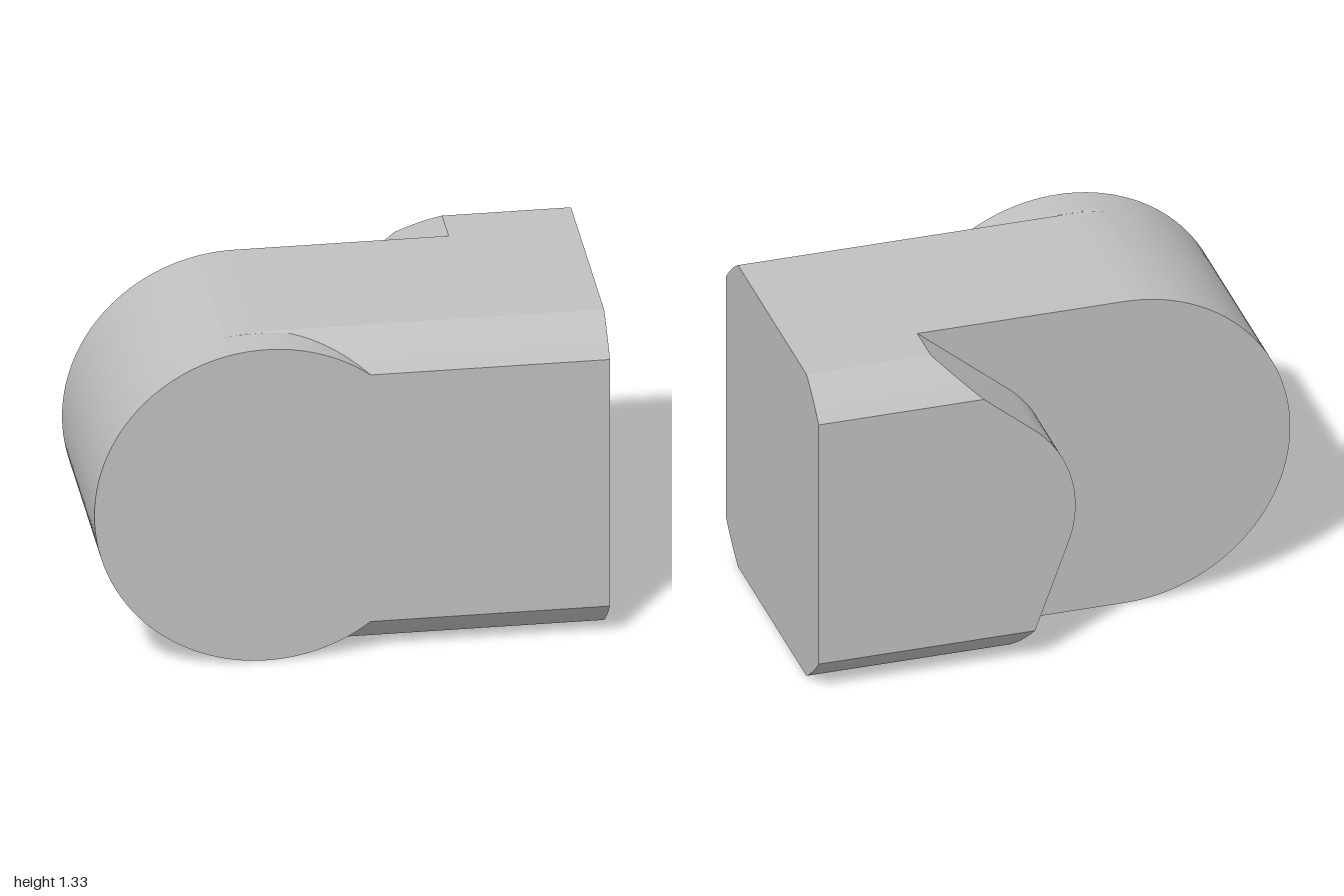
import * as THREE from 'three';
import { toCreasedNormals } from 'three/addons/utils/BufferGeometryUtils.js';

const R = 2 / 3;              // half height and radius of the rounded end
const END_X = -1 + R;         // axis of the rounded end
const CORNER_R = 0.8;         // turned radius that rounds the long corners
const Z_FLAT = Math.sqrt(CORNER_R ** 2 - R ** 2);
const Z_FRONT = 0.6, Z_STEP = -0.267;
const NOSE_X = 0.438, NOSE_R = 0.471;
const rad = THREE.MathUtils.degToRad;

// Half height of the body at depth z
const halfHeight = (z) => Math.min(R, Math.sqrt(CORNER_R ** 2 - z * z));

function arc(cx, r, from, to, n) {
  return Array.from({ length: n + 1 }, (_, i) => {
    const a = from + ((to - from) * i) / n;
    return new THREE.Vector2(cx + r * Math.cos(a), r * Math.sin(a));
  });
}

// Full disc joined to a bar of half height h
function discEdge(h) {
  const a = Math.asin(Math.min(1, h / R));
  return arc(END_X, R, a, 2 * Math.PI - a, 80);
}

// Blunt nose: sloped line above, arc, steeper line below
function noseEdge(h) {
  const top = rad(130), low = rad(200);
  const pts = arc(NOSE_X, NOSE_R, top, low, 32);
  const a = pts[0], b = pts[pts.length - 1];
  const start = new THREE.Vector2(a.x - (h - a.y) * Math.tan(top), h);
  const end = new THREE.Vector2(b.x + (h + b.y) * Math.tan(rad(20)), -h);
  return [start, ...pts, end];
}

const outline = (edge, z) => {
  const h = halfHeight(z);
  return [new THREE.Vector2(1, h), ...edge(h), new THREE.Vector2(1, -h)];
};

// Side walls through outlines at rising z
function loft(edge, depths) {
  const pos = [], index = [];
  const n = outline(edge, depths[0]).length;
  depths.forEach((z, k) => {
    outline(edge, z).forEach((p, i) => {
      pos.push(p.x, p.y + R, z);
      if (k === 0) return;
      const j = (i + 1) % n, lo = (k - 1) * n, hi = k * n;
      index.push(lo + i, lo + j, hi + j, lo + i, hi + j, hi + i);
    });
  });
  const g = new THREE.BufferGeometry();
  g.setAttribute('position', new THREE.Float32BufferAttribute(pos, 3));
  g.setIndex(index);
  return toCreasedNormals(g, rad(20));
}

// Flat face at depth z
function cap(points, z, facesBack) {
  const g = new THREE.ShapeGeometry(new THREE.Shape(points));
  g.translate(0, R, z);
  if (facesBack) {
    g.index.array.reverse();
    const nrm = g.attributes.normal;
    for (let i = 0; i < nrm.count; i++) nrm.setZ(i, -1);
  }
  return g;
}

const steps = (from, to, n) => Array.from({ length: n + 1 }, (_, i) => from + ((to - from) * i) / n);

export function createModel() {
  const grey = new THREE.MeshStandardMaterial({ color: 0xc0c0c0 });
  grey.name = 'plain grey';
  const model = new THREE.Group();
  model.name = 'roundedBlock';
  const add = (name, geometry) => {
    const mesh = new THREE.Mesh(geometry, grey);
    mesh.name = name;
    model.add(mesh);
  };

  // Main body with the round end
  add('bodySides', loft(discEdge, [Z_STEP, ...steps(Z_FLAT, Z_FRONT, 10)]));
  add('frontFace', cap(outline(discEdge, Z_FRONT), Z_FRONT, false));

  // Raised pad at the back
  add('padSides', loft(noseEdge, [...steps(-Z_FRONT, -Z_FLAT, 10), Z_STEP]));
  add('padFace', cap(outline(noseEdge, -Z_FRONT), -Z_FRONT, true));

  // Recessed face left uncovered by the pad
  add('recessedFace', cap([...discEdge(R), ...noseEdge(R).reverse()], Z_STEP, true));
  return model;
}
